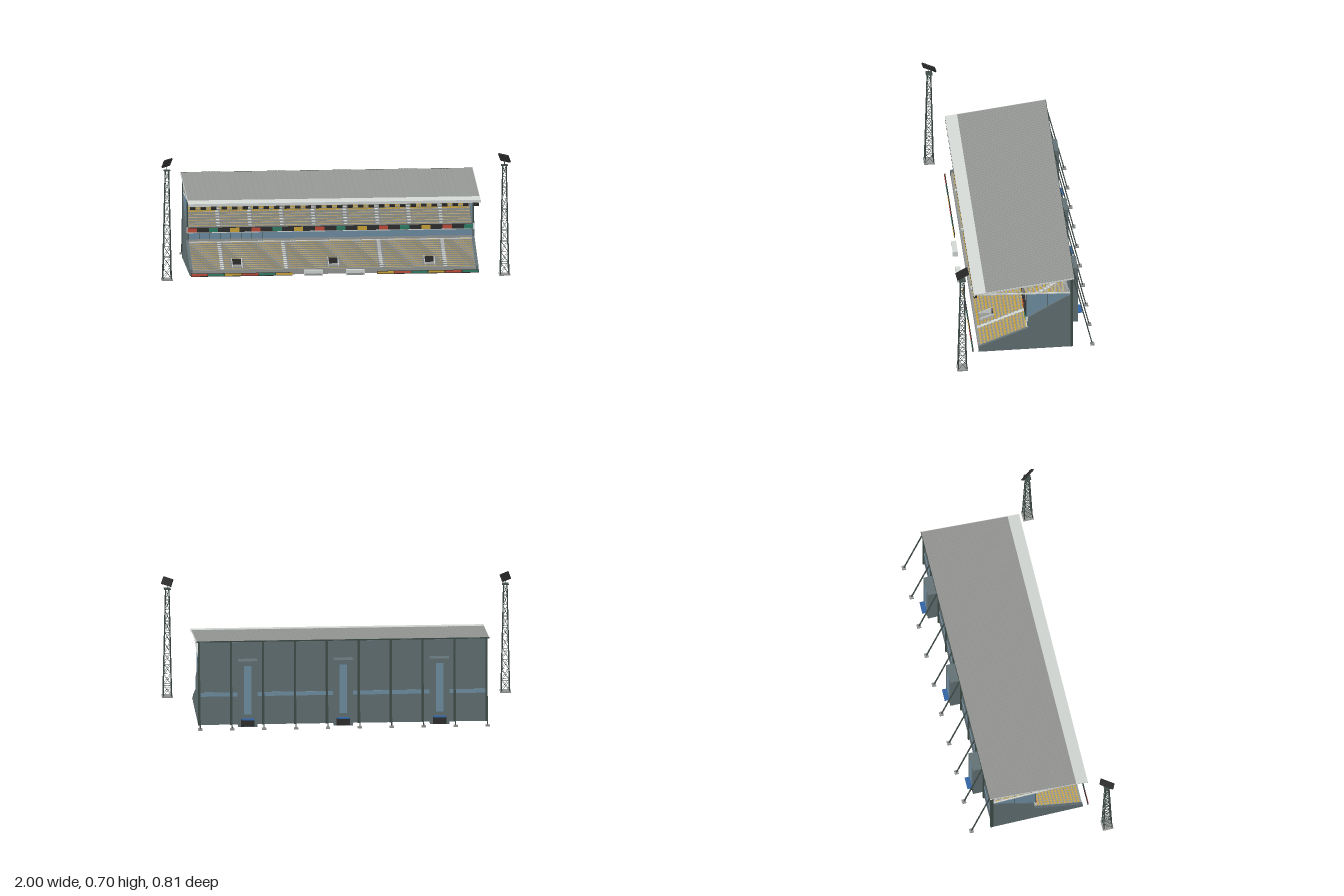
import * as THREE from 'three';
import { mergeGeometries } from 'three/addons/utils/BufferGeometryUtils.js';

const paint = (name, color) => new THREE.MeshStandardMaterial({ name, color });

// Box given by its limits on each axis
function box(x0, x1, y0, y1, z0, z1) {
  return new THREE.BoxGeometry(x1 - x0, y1 - y0, z1 - z0)
    .translate((x0 + x1) / 2, (y0 + y1) / 2, (z0 + z1) / 2).toNonIndexed();
}

// Side outline of [z, y] points, extruded along x
function slab(points, x0, x1) {
  const shape = new THREE.Shape(points.map(([z, y]) => new THREE.Vector2(-z, y)));
  return new THREE.ExtrudeGeometry(shape, { depth: x1 - x0, bevelEnabled: false })
    .rotateY(Math.PI / 2).translate(x0, 0, 0);
}

// Square bar between two points
function bar(a, b, t) {
  const p = new THREE.Vector3(...a), q = new THREE.Vector3(...b);
  const o = new THREE.Object3D();
  o.position.copy(p).lerp(q, 0.5);
  o.lookAt(q);
  o.updateMatrix();
  return new THREE.BoxGeometry(t, t, p.distanceTo(q)).applyMatrix4(o.matrix).toNonIndexed();
}

export function createModel() {
  const model = new THREE.Group();
  model.name = 'stadiumStand';
  const light = paint('paleSteel', 0xd3d8d5), grey = paint('concreteGrey', 0x959794);
  const clad = paint('slateCladding', 0x637175), dark = paint('darkGreenSteel', 0x3f4c48);
  const glass = paint('blueGlass', 0x7190a5), black = paint('charcoal', 0x2e2e2e);
  const yellow = paint('yellow', 0xd0a73a), red = paint('red', 0xc24e3c);
  const green = paint('green', 0x308068), blue = paint('blue', 0x3263a4);
  const add = (name, mat, geoms, parent = model) => {
    const mesh = new THREE.Mesh(mergeGeometries(geoms), mat);
    mesh.name = name;
    parent.add(mesh);
    return mesh;
  };
  const frames = Array.from({ length: 10 }, (_, i) => -0.82 + i * 1.64 / 9);
  const bays = [-0.55, 0, 0.55];

  // Terraces: stepped outline of both tiers, notched at the lower entrances
  const tiers = [
    { rows: 14, z: 0.25, y: 0.033, d: 0.0196, r: 0.008, aisles: [1, 3, 6, 8] },
    { rows: 11, z: -0.028, y: 0.215, d: 0.0196, r: 0.0127, aisles: [1, 2, 3, 4, 5, 6, 7, 8] },
  ];
  const terrace = (notched, x0, x1) => {
    const outline = [[0.258, 0.004], [0.258, 0.03], [0.25, 0.03]];
    tiers.forEach((t, k) => {
      for (let i = 0; i < t.rows; i++) {
        const y = t.y + (notched && k === 0 && i > 0 && i < 5 ? 1 : i) * t.r;
        outline.push([t.z - i * t.d, y], [t.z - (i + 1) * t.d, y]);
      }
    });
    outline.push([-0.262, 0.342], [-0.262, 0.004]);
    return slab(outline, x0, x1);
  };
  const cuts = [-0.81, ...bays.flatMap((x) => [x - 0.027, x + 0.027]), 0.81];
  add('terraces', grey, cuts.slice(1).map((x, i) => terrace(i % 2 === 1, cuts[i], x)));
  add('base', grey, [box(-0.824, 0.824, 0, 0.004, -0.262, 0.259)]);

  // Seats and aisle steps, row by row
  const pans = [], backs = [], yellowBacks = [], steps = [];
  tiers.forEach((t, k) => {
    for (let i = 0; i < t.rows; i++) {
      const z = t.z - i * t.d, y = t.y + i * t.r;
      const accent = k === 1 && (i === 6 || i === 7);
      for (let j = 0; j < 114; j++) {
        const x = -0.798 + j * 0.01412;
        if (t.aisles.some((a) => Math.abs(x - frames[a]) < 0.016)) continue;
        if (k === 0 && i > 0 && i < 5 && bays.some((b) => Math.abs(x - b) < 0.037)) continue;
        pans.push(box(x - 0.005, x + 0.005, y + 0.0005, y + 0.0012, z - 0.015, z - 0.004));
        (accent ? yellowBacks : backs)
          .push(box(x - 0.005, x + 0.005, y, y + 0.009, z - 0.018, z - 0.016));
      }
      t.aisles.forEach((a) => steps.push(
        box(frames[a] - 0.01, frames[a] + 0.01, y - 0.001, y + 0.003, z - t.d, z + 0.001)));
    }
  });
  add('seatPans', yellow, pans);
  add('seatBacks', grey, backs);
  add('accentSeatBacks', yellow, yellowBacks);
  add('aisleSteps', light, steps);

  // Lower tier entrances
  add('entranceOpenings', black, bays.map((x) => box(x - 0.026, x + 0.026, 0.041, 0.074, 0.152, 0.158)));
  add('entranceWalls', light, bays.flatMap((x) => [-1, 1].map((s) =>
    slab([[0.232, 0.035], [0.232, 0.047], [0.152, 0.079], [0.152, 0.035]], x + s * 0.028 - 0.0015, x + s * 0.028 + 0.0015))));

  // Side walls and glazed wind screens
  const side = [[0.26, 0], [0.26, 0.036], [-0.023, 0.151], [-0.023, 0.226], [-0.235, 0.357], [-0.265, 0.367], [-0.265, 0]];
  const ends = [-0.825, 0.81];
  add('sideWalls', clad, ends.map((x) => slab(side, x, x + 0.015)));
  add('windScreens', glass, ends.map((x) =>
    slab([[-0.013, 0.39], [-0.013, 0.228], [-0.235, 0.358], [-0.262, 0.368], [-0.262, 0.382]], x + 0.005, x + 0.01)));
  add('screenPosts', dark, ends.flatMap((x) => [[-0.014, 0.228], [-0.137, 0.295]].map(([z, y]) =>
    box(x + 0.004, x + 0.011, y, 0.39, z - 0.0015, z + 0.0015))));

  // Glazed boxes and advertising balcony between the tiers
  add('boxWindows', glass, [box(-0.81, 0.81, 0.158, 0.195, -0.026, -0.019)]);
  add('boxMullions', dark, Array.from({ length: 28 }, (_, i) => {
    const x = -0.81 + i * 0.06;
    return box(x - 0.001, x + 0.001, 0.158, 0.195, -0.02, -0.018);
  }));
  add('boxSill', light, [box(-0.81, 0.81, 0.138, 0.143, -0.024, -0.016)]);
  add('balconyLedge', light, [box(-0.815, 0.815, 0.195, 0.199, -0.028, -0.009),
    ...[-1, 1].map((s) => box(s * 0.819 - 0.004, s * 0.819 + 0.004, 0.196, 0.226, -0.024, -0.009))]);
  add('balconyFront', black, [box(-0.815, 0.815, 0.199, 0.224, -0.026, -0.01)]);
  const adColours = [['red', red], ['green', green], ['yellow', yellow]];
  adColours.forEach(([name, mat], c) => {
    const panels = [];
    for (let i = c; i < 14; i += 3) {
      const x = -0.79 + i * 0.1215;
      panels.push(box(x - 0.026, x + 0.026, 0.2, 0.223, -0.01, -0.007));
    }
    // Pitchside boards, six each side
    for (let i = 0; i < 6; i++) {
      if (i % 3 === c) panels.push(box(-0.82 + i * 0.097, -0.727 + i * 0.097, 0.004, 0.016, 0.294, 0.296));
      if ((i + 2) % 3 === c) panels.push(box(0.245 + i * 0.097, 0.338 + i * 0.097, 0.004, 0.016, 0.294, 0.296));
    }
    add(name + 'AdPanels', mat, panels);
  });
  add('pitchBoards', black, [box(-0.822, -0.24, 0, 0.018, 0.289, 0.294), box(0.243, 0.825, 0, 0.018, 0.289, 0.294)]);

  // Team shelters
  [-0.122, 0.118].forEach((x) => {
    const shelter = new THREE.Group();
    shelter.name = 'teamShelter';
    model.add(shelter);
    add('shelterShell', light, [
      box(x - 0.053, x + 0.053, 0, 0.032, 0.291, 0.294), box(x - 0.053, x + 0.053, 0.029, 0.032, 0.291, 0.32),
      box(x - 0.053, x - 0.05, 0, 0.032, 0.291, 0.32), box(x + 0.05, x + 0.053, 0, 0.032, 0.291, 0.32),
    ], shelter);
    add('shelterBench', grey, [box(x - 0.048, x + 0.048, 0, 0.01, 0.295, 0.305)], shelter);
  });

  // Rear wall with window band
  add('rearWall', clad, [box(-0.822, 0.822, 0, 0.485, -0.272, -0.262)]);
  add('rearWindowBand', glass, [box(-0.815, 0.815, 0.167, 0.19, -0.275, -0.272)]);

  // Rear columns, raking stays and footings
  add('rearColumns', dark, frames.map((x) => box(x - 0.006, x + 0.006, 0, 0.492, -0.281, -0.265)));
  add('rearStays', dark, frames.map((x) => bar([x, 0.492, -0.281], [x, 0.006, -0.391], 0.006)));
  add('stayFootings', grey, frames.map((x) => box(x - 0.012, x + 0.012, 0, 0.01, -0.403, -0.38)));

  // Stair towers with glazing, door and canopy
  [-0.55, 0, 0.545].forEach((x) => {
    const tower = new THREE.Group();
    tower.name = 'stairTower';
    model.add(tower);
    add('towerShaft', clad, [box(x - 0.055, x + 0.055, 0, 0.387, -0.33, -0.272)], tower);
    add('towerGlazing', glass, [box(x - 0.022, x + 0.022, 0.075, 0.36, -0.332, -0.33)], tower);
    add('towerDoor', black, [box(x - 0.038, x + 0.038, 0.002, 0.044, -0.332, -0.33)], tower);
    add('towerCanopy', blue, [box(x - 0.035, x + 0.035, 0.046, 0.051, -0.358, -0.33)], tower);
  });

  // Roof sheet with shallow ribs, pale edge trims, front strip and fascia
  const top = (z) => 0.42 + (0.285 - z) * 0.133;
  const sheet = (z0, z1, lo, hi, x0, x1) =>
    slab([[z0, top(z0) + lo], [z0, top(z0) + hi], [z1, top(z1) + hi], [z1, top(z1) + lo]], x0, x1);
  add('roofSheet', grey, [sheet(0.22, -0.287, -0.006, 0, -0.834, 0.834)]);
  add('roofRibs', grey, Array.from({ length: 104 }, (_, i) => {
    const x = -0.824 + i * 0.016;
    return sheet(0.22, -0.287, -0.001, 0.0012, x - 0.002, x + 0.002);
  }));
  add('roofEdgeTrims', light, [-0.835, 0.835].map((x) => sheet(0.22, -0.285, -0.007, 0.001, x - 0.001, x + 0.001)));
  add('roofFrontStrip', light, [sheet(0.285, 0.22, -0.006, 0.001, -0.836, 0.836),
    box(-0.836, 0.836, 0.405, 0.421, 0.283, 0.288)]);
  add('roofRearEdge', dark, [box(-0.836, 0.836, 0.49, 0.497, -0.289, -0.286)]);
  add('purlins', dark, Array.from({ length: 12 }, (_, i) => {
    const z = 0.25 - i * 0.046;
    return box(-0.83, 0.83, top(z) - 0.011, top(z) - 0.005, z - 0.003, z + 0.003);
  }));

  // Cantilever trusses
  const truss = [];
  const low = (z) => 0.408 - (0.28 - z) * 0.045;
  frames.forEach((x) => {
    truss.push(bar([x, top(0.28) - 0.009, 0.28], [x, top(-0.27) - 0.009, -0.27], 0.008));
    truss.push(bar([x, low(0.28), 0.28], [x, low(-0.27), -0.27], 0.007));
    for (let i = 1; i < 12; i++) {
      const z = 0.28 - i * 0.0458, next = z - 0.0458;
      truss.push(bar([x, top(z) - 0.009, z], [x, low(z), z], 0.0035));
      truss.push(bar([x, top(z) - 0.009, z], [x, low(next), next], 0.004));
    }
  });
  add('roofTrusses', light, truss);
  add('roofLamps', black, Array.from({ length: 28 }, (_, i) =>
    box(-0.015, 0.015, -0.007, 0.007, -0.009, 0.009).rotateX(0.2).translate(-0.81 + i * 0.06, 0.395, 0.279)));

  // Lattice floodlight masts
  [-1, 1].forEach((s) => {
    const mast = new THREE.Group();
    mast.name = 'floodlightMast';
    mast.position.set(s * 0.965, 0, 0.368);
    model.add(mast);
    const corners = [[-1, -1], [1, -1], [1, 1], [-1, 1]];
    const at = (c, h) => {
      const w = 0.024 - 0.014 * h;
      return [corners[c % 4][0] * w, 0.008 + 0.625 * h, corners[c % 4][1] * w];
    };
    const lattice = [];
    for (let c = 0; c < 4; c++) {
      lattice.push(bar(at(c, 0), at(c, 1), 0.004));
      for (let i = 0; i < 10; i++) {
        const a = i / 10, b = (i + 1) / 10;
        lattice.push(bar(at(c, a), at(c + 1, b), 0.0016), bar(at(c + 1, a), at(c, b), 0.0016));
        lattice.push(bar(at(c, b), at(c + 1, b), 0.0018));
      }
    }
    lattice.push(box(-0.019, 0.019, 0.634, 0.638, -0.019, 0.019), box(-0.0015, 0.0015, 0.638, 0.68, -0.0015, 0.0015));
    add('mastLattice', dark, lattice, mast);
    add('mastFooting', grey, [box(-0.031, 0.031, 0, 0.008, -0.031, 0.031)], mast);
    const lamps = [box(-0.042, 0.042, -0.023, 0.023, -0.004, 0.004)];
    for (let i = 0; i < 10; i++) {
      const x = -0.032 + (i % 5) * 0.016, y = i < 5 ? -0.011 : 0.011;
      lamps.push(box(x - 0.006, x + 0.006, y - 0.008, y + 0.008, 0.004, 0.006));
    }
    const head = add('floodlightHead', black, lamps, mast);
    head.position.y = 0.678;
    head.rotation.set(0.4, -s * 0.95, 0, 'YXZ');
  });

  return model;
}
